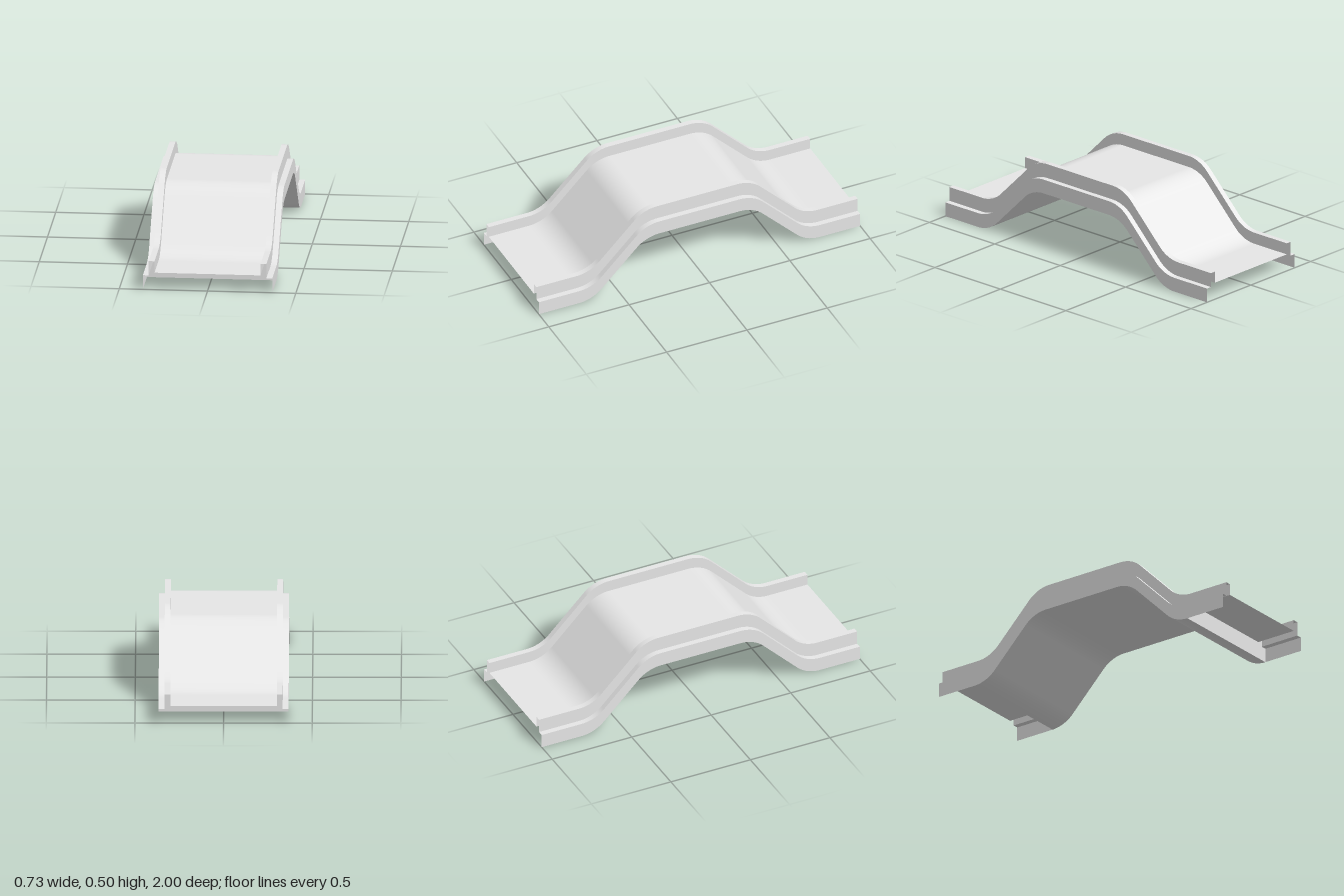
import * as THREE from 'three';

const RISE = 1 / 3;   // height gained by the slope
const BEND = 0.75;    // |z| where the flat ends meet the hump

// Stations [z, height] over the hump, front to back: fillet, 45 degree slope, fillet, mirrored
function humpPath() {
  const zLow = 0.5 + RISE / 2, zHigh = 0.5 - RISE / 2;
  const t = BEND - zLow, r = t / Math.tan(Math.PI / 8), n = 12;
  const half = [];
  for (let i = 0; i <= n; i++) {
    const a = (i / n) * Math.PI / 4;
    half.push([BEND - r * Math.sin(a), r * (1 - Math.cos(a))]);
  }
  for (let i = n; i >= 0; i--) {
    const a = (i / n) * Math.PI / 4;
    half.push([zHigh - t + r * Math.sin(a), RISE - r * (1 - Math.cos(a))]);
  }
  return [...half, ...half.slice().reverse().map(([z, y]) => [-z, y])];
}

// Sweep one edge of the cross-section along a path
function strip(a, b, path) {
  const pos = [], idx = [];
  path.forEach(([z, y], i) => {
    pos.push(a[0], a[1] + y, z, b[0], b[1] + y, z);
    if (i < path.length - 1) {
      const k = 2 * i;
      idx.push(k, k + 1, k + 2, k + 1, k + 3, k + 2);
    }
  });
  const geo = new THREE.BufferGeometry();
  geo.setAttribute('position', new THREE.Float32BufferAttribute(pos, 3));
  geo.setIndex(idx);
  geo.computeVertexNormals();
  return geo;
}

export function createModel() {
  const model = new THREE.Group();
  model.name = 'humpedRamp';
  const grey = new THREE.MeshStandardMaterial({ color: 0xe7e7e7, side: THREE.DoubleSide });
  grey.name = 'light grey';

  // Cross-section: skirt, ledge, rail, deck, then the mirrored side
  const right = [[-0.3667, 0], [-0.3667, 0.0833], [-0.3333, 0.0833], [-0.3333, 0.1667], [-0.3, 0.1667], [-0.3, 0.1]];
  const section = [...right, ...right.slice().reverse().map(([x, y]) => [-x, y])];
  const sideNames = ['Skirt', 'Ledge', 'RailOuterWall', 'RailTop', 'RailInnerWall'];
  const names = [
    ...sideNames.map((s) => 'right' + s), 'deck',
    ...sideNames.slice().reverse().map((s) => 'left' + s),
    'underside',
  ];

  function addSection(name, path, edges) {
    const group = new THREE.Group();
    group.name = name;
    for (let i = 0; i < edges; i++) {
      const mesh = new THREE.Mesh(strip(section[i], section[(i + 1) % section.length], path), grey);
      mesh.name = names[i];
      group.add(mesh);
    }
    model.add(group);
    return group;
  }

  // Flat ends are hollow and open below; the hump has an underside
  addSection('frontEnd', [[1, 0], [BEND, 0]], section.length - 1);
  addSection('backEnd', [[-BEND, 0], [-1, 0]], section.length - 1);
  const hump = addSection('hump', humpPath(), section.length);

  // Plates closing the hump where the flat ends begin
  const plate = new THREE.ShapeGeometry(new THREE.Shape(section.map(([x, y]) => new THREE.Vector2(x, y))));
  for (const side of [1, -1]) {
    const mesh = new THREE.Mesh(plate, grey);
    mesh.name = side > 0 ? 'frontPlate' : 'backPlate';
    mesh.position.z = side * BEND;
    mesh.rotation.y = side > 0 ? 0 : Math.PI;
    hump.add(mesh);
  }

  return model;
}
